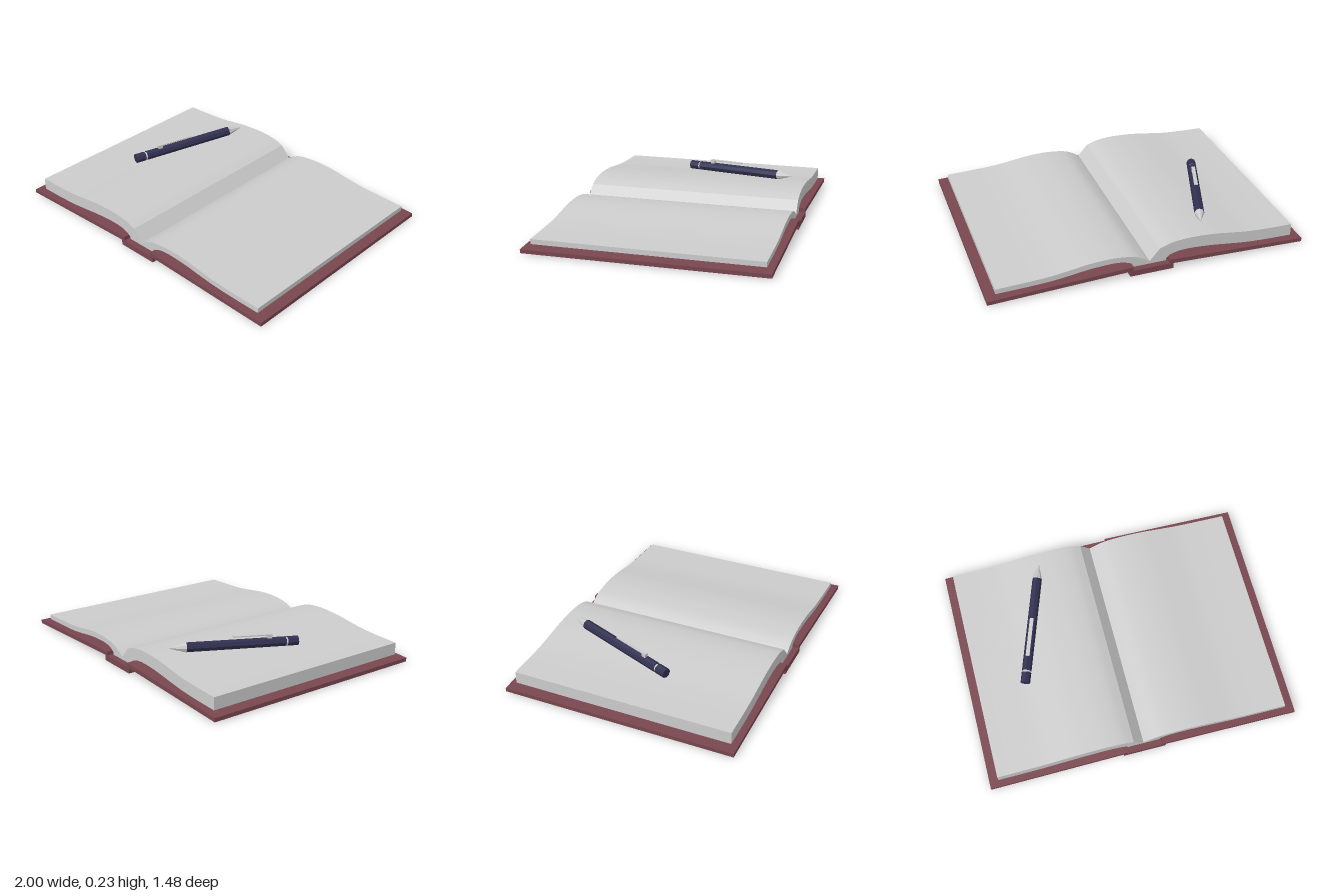
import * as THREE from 'three';
import { toCreasedNormals } from 'three/addons/utils/BufferGeometryUtils.js';

const paper = new THREE.MeshStandardMaterial({ color: 0xcccccc });
const leather = new THREE.MeshStandardMaterial({ color: 0x78464f });
const navy = new THREE.MeshStandardMaterial({ color: 0x303050, flatShading: true });
const metal = new THREE.MeshStandardMaterial({ color: 0xcccccc, flatShading: true });

function add(parent, name, geometry, material) {
  const mesh = new THREE.Mesh(geometry, material);
  mesh.name = name;
  parent.add(mesh);
  return mesh;
}

// Extrude an x-y outline along z, centred on z = 0
function extrude(shape, depth, curveSegments = 24) {
  const geo = new THREE.ExtrudeGeometry(shape, { depth, bevelEnabled: false, curveSegments });
  geo.translate(0, 0, -depth / 2);
  return toCreasedNormals(geo, 0.4);
}

const points = (list) => list.map(([x, y]) => new THREE.Vector2(x, y));

// Page block: straight gutter face, curved top, fore edge, curved underside
function pageBlock(gutter, top, under) {
  const shape = new THREE.Shape();
  shape.moveTo(0, 0.036);
  shape.lineTo(0, 0.055);
  shape.lineTo(...gutter);
  shape.splineThru(points(top));
  shape.lineTo(...under[0]);
  shape.splineThru(points(under.slice(1)));
  shape.lineTo(Math.sign(gutter[0]) * 0.105, 0.036);
  shape.closePath();
  return extrude(shape, 1.4, 5);
}

function createPen() {
  const pen = new THREE.Group();
  pen.name = 'pen';
  const end = new THREE.Vector3(-0.635, 0.162, 0.16);
  const tip = new THREE.Vector3(-0.368, 0.2, -0.6);
  const length = end.distanceTo(tip);
  const r = 0.031;

  // Eight-sided section running along local +z from the blunt end
  const section = (name, from, to, r0, r1, material) => {
    const geo = new THREE.CylinderGeometry(r1, r0, to - from, 8);
    geo.rotateX(Math.PI / 2);
    geo.translate(0, 0, (from + to) / 2);
    add(pen, name, geo, material);
  };
  section('penCap', 0, 0.068, r, r, navy);
  section('penRing', 0.068, 0.08, r * 0.85, r * 0.85, metal);
  section('penBarrel', 0.08, length - 0.1, r, r, navy);
  section('penTip', length - 0.1, length, r, 0.002, metal);

  // Pocket clip and its post
  add(pen, 'clipPost', new THREE.BoxGeometry(0.022, 0.028, 0.03), metal).position.set(0, 0.037, 0.185);
  add(pen, 'clip', new THREE.BoxGeometry(0.024, 0.007, 0.25), metal).position.set(0, 0.049, 0.293);

  pen.position.copy(end);
  pen.lookAt(tip);
  return pen;
}

export function createModel() {
  const model = new THREE.Group();
  model.name = 'openNotebook';

  // Sloping cover boards and the spine
  for (const [name, s] of [['leftCover', 1], ['rightCover', -1]]) {
    const outline = points([[s, 0.003], [s, 0.027], [s * 0.115, 0.063], [s * 0.115, 0.036]]);
    add(model, name, extrude(new THREE.Shape(outline), 1.48), leather);
  }
  add(model, 'spine', new THREE.BoxGeometry(0.274, 0.037, 1.48), leather).position.y = 0.0185;

  // Two page blocks, the right one thicker
  add(model, 'rightPages', pageBlock([-0.065, 0.13],
    [[-0.13, 0.153], [-0.2, 0.163], [-0.28, 0.166], [-0.4, 0.16], [-0.52, 0.145], [-0.64, 0.129], [-0.78, 0.121], [-0.94, 0.117]],
    [[-0.94, 0.04], [-0.78, 0.044], [-0.64, 0.052], [-0.52, 0.066], [-0.4, 0.081], [-0.28, 0.09], [-0.19, 0.088], [-0.13, 0.072], [-0.105, 0.05]]), paper);
  add(model, 'leftPages', pageBlock([0.03, 0.075],
    [[0.08, 0.1], [0.14, 0.115], [0.25, 0.124], [0.38, 0.118], [0.5, 0.101], [0.62, 0.086], [0.78, 0.078], [0.94, 0.073]],
    [[0.94, 0.042], [0.78, 0.045], [0.62, 0.052], [0.5, 0.065], [0.38, 0.081], [0.27, 0.088], [0.19, 0.086], [0.13, 0.07], [0.105, 0.05]]), paper);

  model.add(createPen());
  return model;
}
